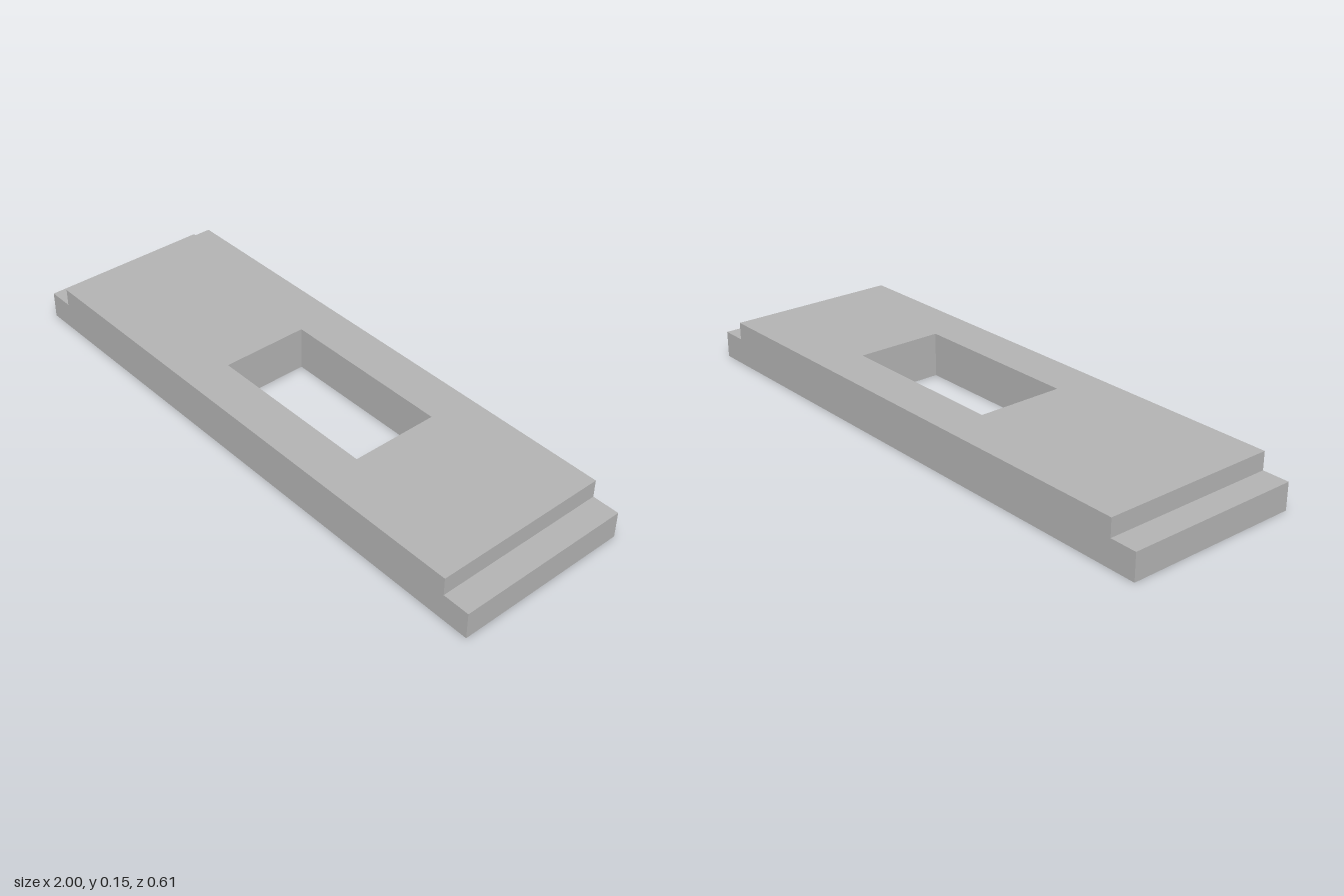
import * as THREE from 'three';

const HALF_LENGTH = 1;
const HALF_DEPTH = 0.303;
const HEIGHT = 0.152;
const STEP_X = 0.908;      // where the end lips begin
const LIP_HEIGHT = 0.091;

// Adds a rectangle to a Shape or Path
function rect(path, x0, x1, halfY) {
  path.moveTo(x0, -halfY);
  path.lineTo(x1, -halfY);
  path.lineTo(x1, halfY);
  path.lineTo(x0, halfY);
  path.closePath();
  return path;
}

export function createModel() {
  const group = new THREE.Group();
  group.name = 'steppedPlate';
  const grey = new THREE.MeshStandardMaterial({ color: 0xb2b2b2 });
  grey.name = 'plain grey';

  // Main slab with an off-centre rectangular window
  const outline = rect(new THREE.Shape(), -STEP_X, STEP_X, HALF_DEPTH);
  outline.holes.push(rect(new THREE.Path(), -0.212, 0.394, 0.152));
  const slab = new THREE.ExtrudeGeometry(outline, { depth: HEIGHT, bevelEnabled: false });
  slab.rotateX(-Math.PI / 2);
  const body = new THREE.Mesh(slab, grey);
  body.name = 'slab';
  group.add(body);

  // Lower lip at each end
  const lipLength = HALF_LENGTH - STEP_X;
  for (const side of [-1, 1]) {
    const lip = new THREE.Mesh(new THREE.BoxGeometry(lipLength, LIP_HEIGHT, HALF_DEPTH * 2), grey);
    lip.position.set(side * (STEP_X + lipLength / 2), LIP_HEIGHT / 2, 0);
    lip.name = side > 0 ? 'leftLip' : 'rightLip';
    group.add(lip);
  }
  return group;
}
